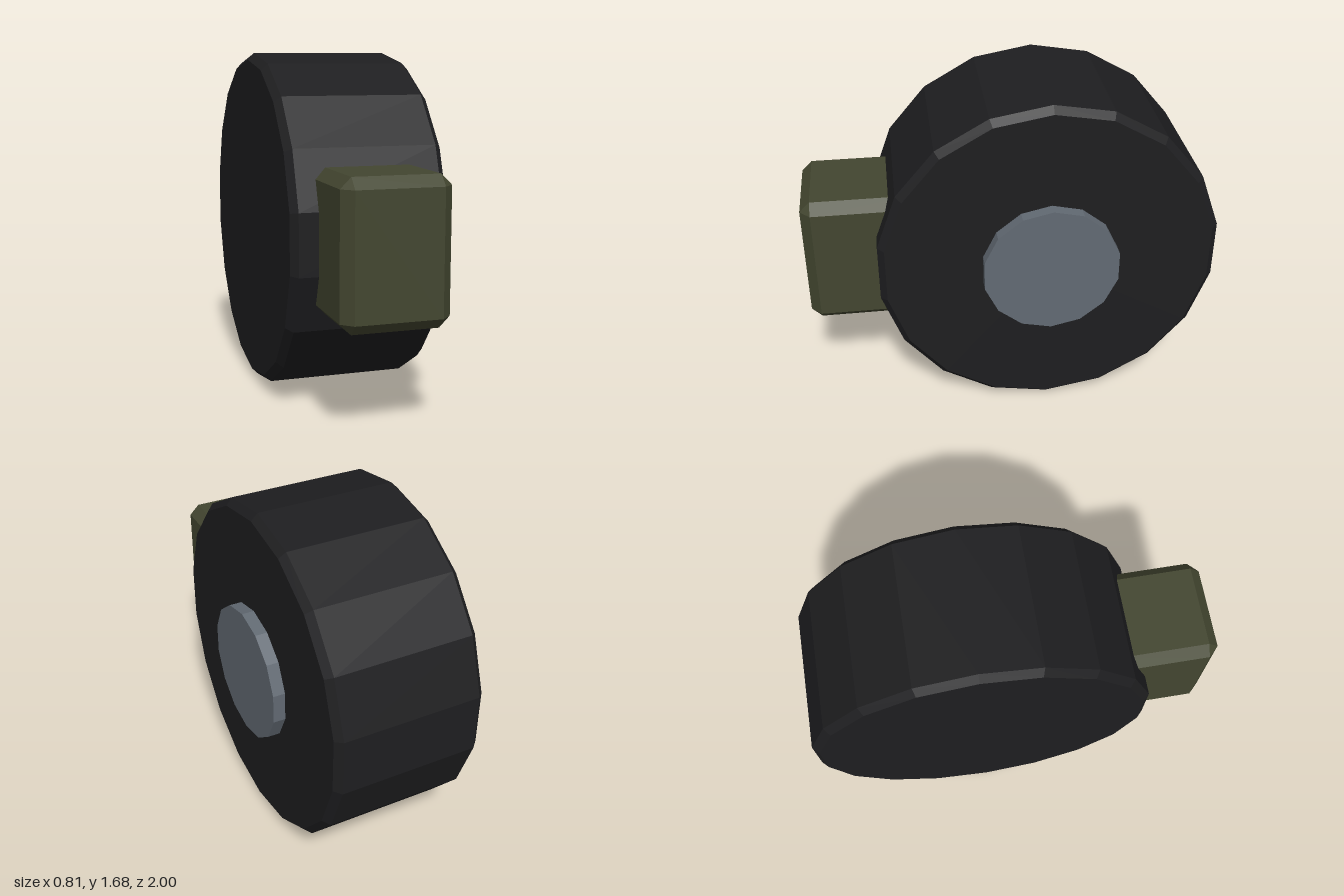
import * as THREE from 'three';
import { ConvexGeometry } from 'three/addons/geometries/ConvexGeometry.js';

const AXLE_Y = 0.84, AXLE_Z = -0.175, MID_X = -0.03;

function part(name, geometry, color, x, y, z) {
  const material = new THREE.MeshStandardMaterial({ color, flatShading: true });
  const mesh = new THREE.Mesh(geometry, material);
  mesh.name = name;
  mesh.position.set(x, y, z);
  return mesh;
}

// Box with every edge and corner cut flat by c
function chamferedBox(w, h, d, c) {
  const points = [];
  for (const sx of [-1, 1]) for (const sy of [-1, 1]) for (const sz of [-1, 1]) {
    for (let axis = 0; axis < 3; axis++) {
      const inset = [c, c, c];
      inset[axis] = 0;
      points.push(new THREE.Vector3(
        sx * (w / 2 - inset[0]), sy * (h / 2 - inset[1]), sz * (d / 2 - inset[2])));
    }
  }
  return new ConvexGeometry(points);
}

export function createModel() {
  const group = new THREE.Group();
  group.name = 'wheelWithMount';

  // Tyre: 18-sided drum with bevelled rims, axle along x, one corner at the top
  const R = 0.838, half = 0.375, bevel = 0.033;
  const profile = [
    [0, -half], [R - bevel, -half], [R, -half + bevel],
    [R, half - bevel], [R - bevel, half], [0, half],
  ].map(([r, y]) => new THREE.Vector2(r, y));
  const tyre = new THREE.LatheGeometry(profile, 18, Math.PI / 2).rotateZ(-Math.PI / 2);
  group.add(part('tyre', tyre, 0x1e1e20, MID_X, AXLE_Y, AXLE_Z));

  // Hub cap: 14-sided disc standing out of the left face only
  const hub = new THREE.CylinderGeometry(0.335, 0.335, 0.12, 14, 1, false, Math.PI / 2)
    .rotateZ(-Math.PI / 2);
  group.add(part('hubCap', hub, 0x626a73, 0.345, AXLE_Y, AXLE_Z));

  // Mounting block: its back end is buried in the tyre
  const block = chamferedBox(0.5, 0.67, 0.56, 0.05);
  group.add(part('mountBlock', block, 0x434630, MID_X, AXLE_Y, 0.72));

  return group;
}
